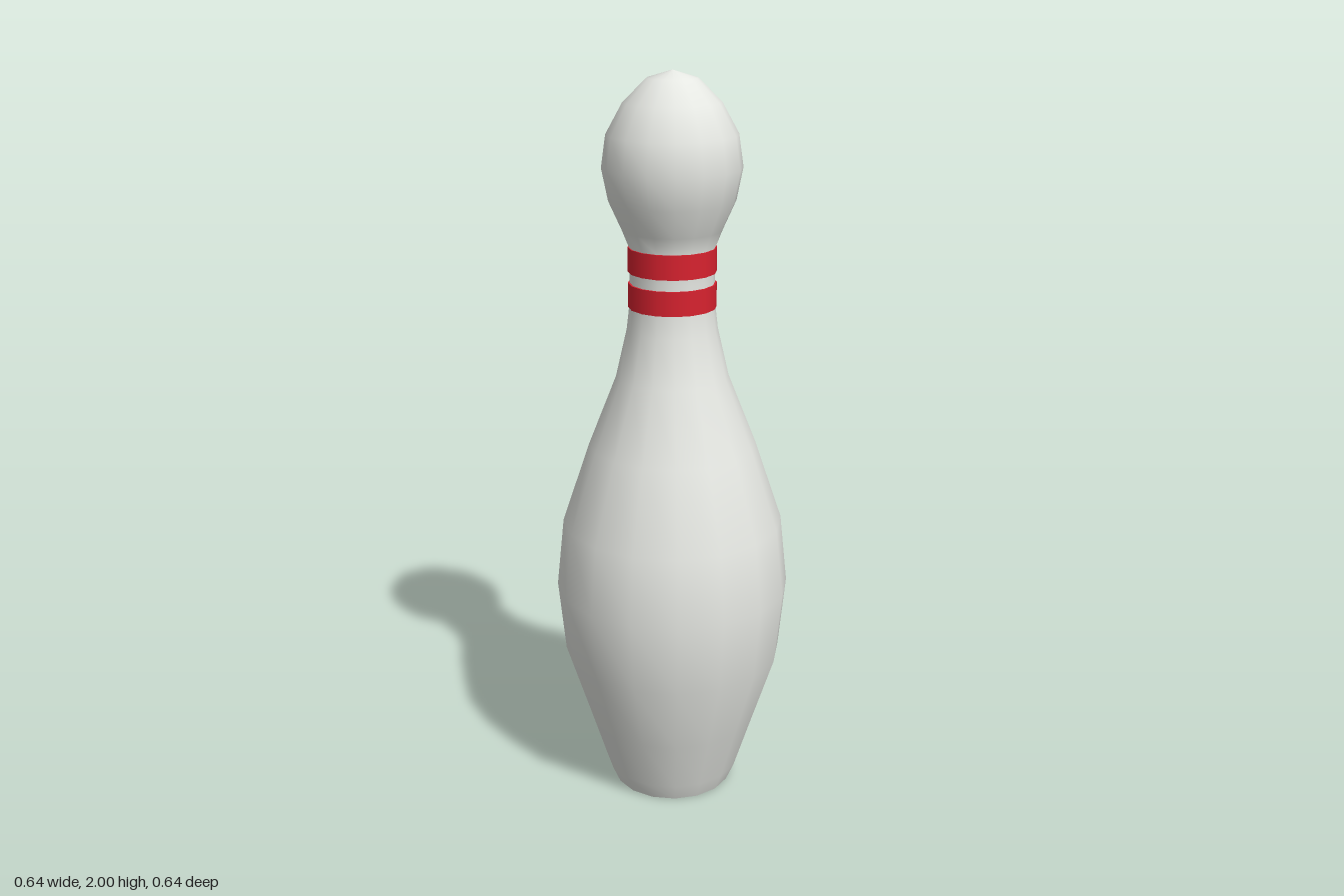
import * as THREE from 'three';

const SIDES = 16;

export function createModel() {
  const group = new THREE.Group();
  group.name = 'bowlingPin';

  const white = new THREE.MeshStandardMaterial({ color: 0xe6e8e3 });
  white.name = 'white';
  const red = new THREE.MeshStandardMaterial({ color: 0xd8222f });
  red.name = 'red';

  const add = (name, geometry, material) => {
    const mesh = new THREE.Mesh(geometry, material);
    mesh.name = name;
    group.add(mesh);
    return mesh;
  };
  const lathe = (profile) =>
    new THREE.LatheGeometry(profile.map(([r, y]) => new THREE.Vector2(r, y)), SIDES);

  // Body, neck and head: one turned profile, radius then height
  add('body', lathe([
    [0.165, 0], [0.187, 0.05], [0.235, 0.2], [0.3, 0.4], [0.32, 0.6],
    [0.3, 0.79], [0.226, 1.01], [0.151, 1.2], [0.121, 1.33], [0.113, 1.4],
    [0.112, 1.47], [0.114, 1.55], [0.132, 1.595], [0.166, 1.67], [0.183, 1.755],
    [0.171, 1.84], [0.127, 1.92], [0.066, 1.98], [0, 2],
  ]), white);

  // Flat underside
  const base = add('base', new THREE.CircleGeometry(0.165, SIDES), white);
  base.rotation.x = Math.PI / 2;

  // Two painted neck stripes, each a thin band with closed lips
  const stripe = (name, y0, y1) => {
    const outer = 0.117, inner = 0.11;
    const band = add(name, new THREE.CylinderGeometry(outer, outer, y1 - y0, SIDES, 1, true), red);
    band.position.y = (y0 + y1) / 2;
    for (const [y, turn] of [[y1, -1], [y0, 1]]) {
      const lip = add(name + 'Lip', new THREE.RingGeometry(inner, outer, SIDES), red);
      lip.rotation.x = turn * Math.PI / 2;
      lip.position.y = y;
    }
  };
  stripe('lowerStripe', 1.39, 1.455);
  stripe('upperStripe', 1.485, 1.55);

  return group;
}
